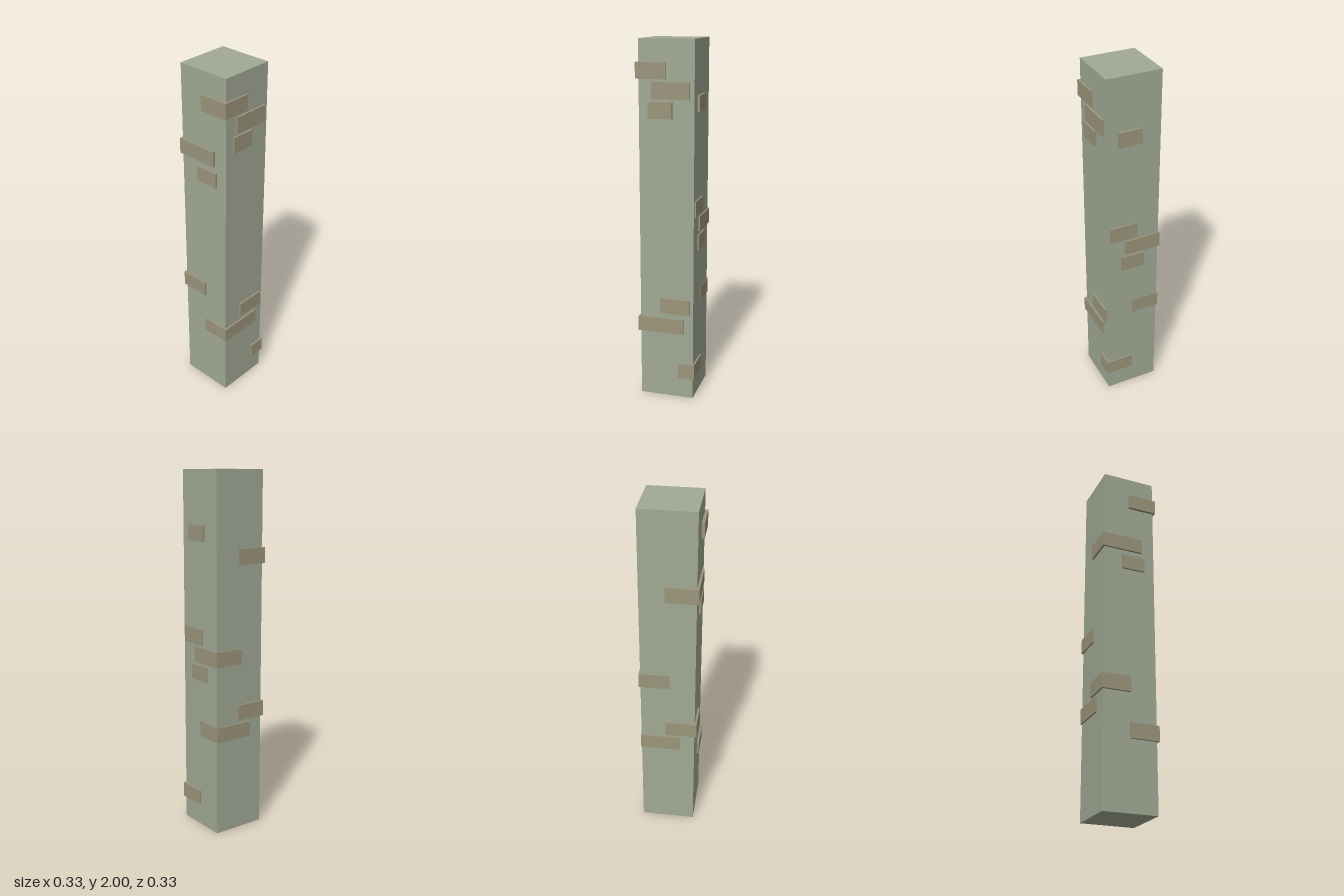
import * as THREE from 'three';

const stone = new THREE.MeshStandardMaterial({ color: 0xa1a994 });
const brickMat = new THREE.MeshStandardMaterial({ color: 0x9b957b });

// Box spanning [x0, x1] x [y0, y1] x [z0, z1]
function span(name, material, [x0, x1], [y0, y1], [z0, z1]) {
  const mesh = new THREE.Mesh(new THREE.BoxGeometry(x1 - x0, y1 - y0, z1 - z0), material);
  mesh.position.set((x0 + x1) / 2, (y0 + y1) / 2, (z0 + z1) / 2);
  mesh.name = name;
  return mesh;
}

export function createModel() {
  const group = new THREE.Group();
  group.name = 'brickPillar';

  // Square shaft
  group.add(span('shaft', stone, [-0.151, 0.153], [0, 2], [-0.154, 0.151]));

  // Exposed bricks set into the shaft, standing slightly proud: [name, x, y, z]
  const inner = 0.12;
  const bricks = [
    // front face
    ['frontBrick', [-0.08, 0.128], [1.69, 1.78], [inner, 0.162]],
    ['frontBrick', [-0.1, 0.033], [1.588, 1.676], [inner, 0.162]],
    ['frontBrick', [-0.037, 0.135], [0.502, 0.588], [inner, 0.162]],
    // left-hand (+x) face
    ['sideBrick', [inner, 0.166], [1.624, 1.71], [-0.045, 0.088]],
    ['sideBrick', [inner, 0.161], [1.06, 1.148], [-0.025, 0.135]],
    ['sideBrick', [inner, 0.161], [0.857, 0.944], [-0.067, 0.07]],
    // opposite (-x) face
    ['sideBrick', [-0.162, -inner], [1.382, 1.468], [-0.045, 0.09]],
    // bricks that wrap a corner
    ['cornerBrick', [-0.167, -0.003], [1.794, 1.88], [-0.003, 0.162]],
    ['cornerBrick', [-0.163, 0.097], [0.386, 0.471], [-0.002, 0.162]],
    ['cornerBrick', [0.068, 0.162], [0.12, 0.206], [0.002, 0.163]],
    ['cornerBrick', [-0.163, 0.014], [1.502, 1.588], [-0.165, 0.075]],
    ['cornerBrick', [-0.163, 0.014], [0.64, 0.726], [-0.164, 0.001]],
    ['cornerBrick', [-0.01, 0.161], [0.96, 1.046], [-0.163, 0.045]],
    ['cornerBrick', [-0.069, 0.156], [0.536, 0.622], [-0.163, 0.001]],
  ];
  bricks.forEach(([name, x, y, z], i) => group.add(span(name + (i + 1), brickMat, x, y, z)));

  return group;
}
